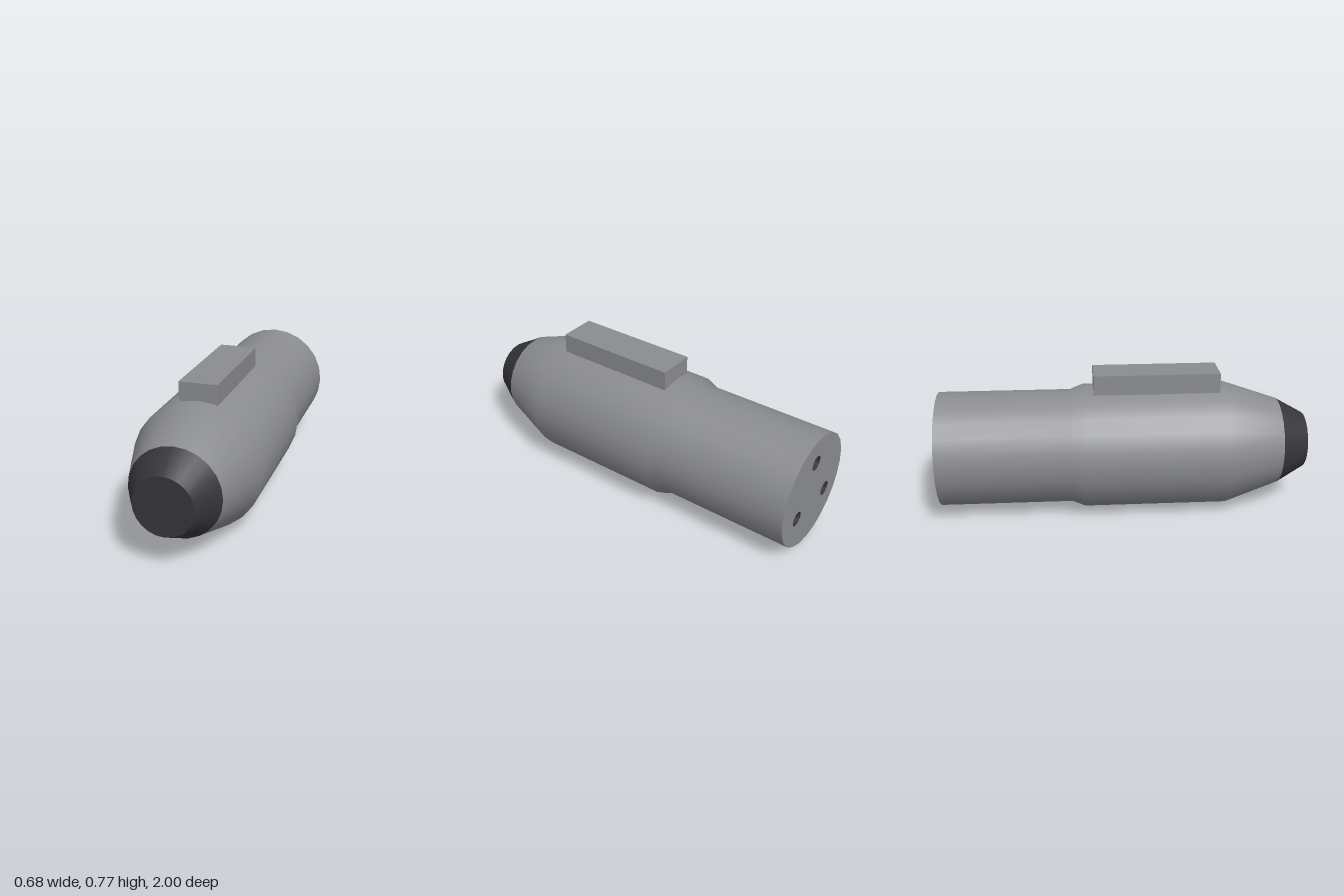
import * as THREE from 'three';

const CENTRE_Y = 0.339;
const SIDES = 24;

// Regular polygon, used for the rear plate and its openings
function polygon(radius, sides, cx = 0, cy = 0) {
  return Array.from({ length: sides }, (_, i) => {
    const a = (i / sides) * Math.PI * 2;
    return new THREE.Vector2(cx + radius * Math.cos(a), cy + radius * Math.sin(a));
  });
}

// Surface of revolution around z; profile is a list of [radius, z]
function turned(profile, sides) {
  const points = profile.map(([r, z]) => new THREE.Vector2(r, z));
  return new THREE.LatheGeometry(points, sides).rotateX(Math.PI / 2);
}

export function createModel() {
  const model = new THREE.Group();
  model.name = 'cylindricalHousing';
  const grey = new THREE.MeshStandardMaterial({ color: 0x8b8c90 });
  grey.name = 'housing grey';
  const dark = new THREE.MeshStandardMaterial({ color: 0x36353b });
  dark.name = 'nose charcoal';

  function add(name, geometry, material, x = 0, y = CENTRE_Y, z = 0) {
    const mesh = new THREE.Mesh(geometry, material);
    mesh.name = name;
    mesh.position.set(x, y, z);
    model.add(mesh);
    return mesh;
  }

  // Main body: narrow rear barrel, wide middle, tapering front
  add('body', turned([
    [0.31, -1], [0.31, -0.29], [0.338, -0.22], [0.338, 0.55], [0.236, 0.85],
  ], SIDES), grey);

  // Dark truncated nose with a flat tip
  add('nose', turned([[0.236, 0.85], [0.152, 1]], SIDES), dark);
  add('noseTip', new THREE.CircleGeometry(0.152, SIDES), dark, 0, CENTRE_Y, 1);

  // Rear plate with three sockets
  const plate = new THREE.Shape(polygon(0.31, SIDES));
  const socketRadius = 0.04;
  const depth = 0.2;
  for (let i = 0; i < 3; i++) {
    const a = Math.PI / 2 + (i * Math.PI * 2) / 3;
    const x = 0.17 * Math.cos(a);
    const y = 0.17 * Math.sin(a);
    plate.holes.push(new THREE.Path(polygon(socketRadius, 12, x, y)));
    // Inward-facing wall and floor
    const well = turned([[0, depth], [socketRadius, depth], [socketRadius, 0]], 12).toNonIndexed();
    well.computeVertexNormals();
    add('socket' + (i + 1), well, dark, x, CENTRE_Y + y, -1);
  }
  add('rearPlate', new THREE.ShapeGeometry(plate).rotateY(Math.PI), grey, 0, CENTRE_Y, -1);

  // Mounting rail on top
  add('topRail', new THREE.BoxGeometry(0.2, 0.167, 0.675), grey, 0, 0.6835, 0.1725);

  return model;
}
